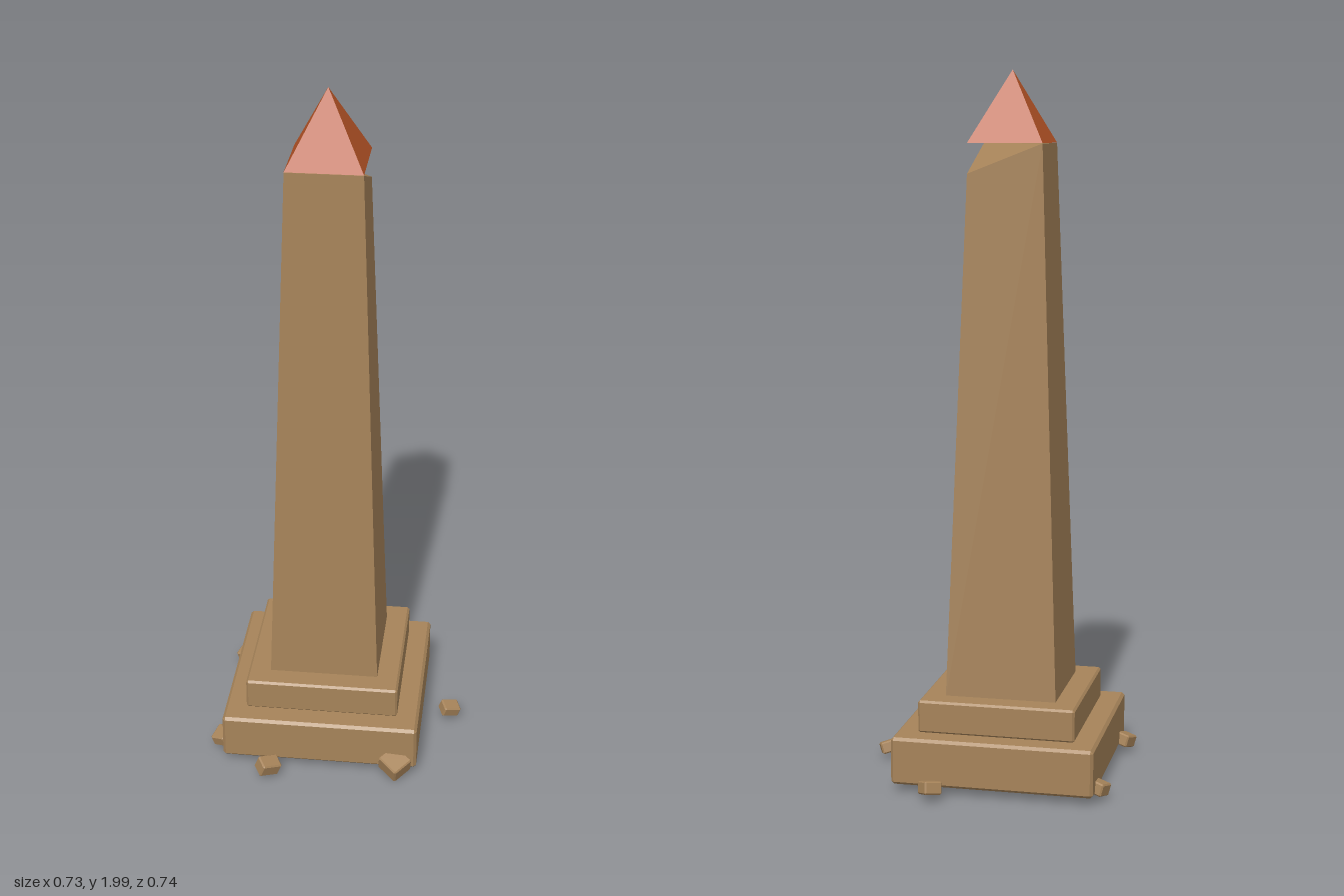
import * as THREE from 'three';
import { ConvexGeometry } from 'three/addons/geometries/ConvexGeometry.js';

const CX = -0.036, CZ = -0.005; // axis of the obelisk

// Box with chamfered edges, as the hull of its inset faces
function chamferBox(w, h, d, b) {
  const pts = [];
  for (const x of [-w / 2, w / 2]) for (const y of [-h / 2, h / 2]) for (const z of [-d / 2, d / 2]) {
    const sx = Math.sign(x) * b, sy = Math.sign(y) * b, sz = Math.sign(z) * b;
    pts.push(
      new THREE.Vector3(x, y - sy, z - sz),
      new THREE.Vector3(x - sx, y, z - sz),
      new THREE.Vector3(x - sx, y - sy, z));
  }
  return new ConvexGeometry(pts);
}

// Four corners of a square at height y
function square(half, y) {
  return [[1, 1], [-1, 1], [-1, -1], [1, -1]].map(([x, z]) => new THREE.Vector3(x * half, y, z * half));
}

export function createModel() {
  const group = new THREE.Group();
  const sandstone = new THREE.MeshStandardMaterial({ color: 0xa68359 });
  sandstone.name = 'sandstone';
  const copper = new THREE.MeshStandardMaterial({ color: 0xb65426 });
  copper.name = 'copper';

  function add(name, geometry, material, x, y, z) {
    const mesh = new THREE.Mesh(geometry, material);
    mesh.name = name;
    mesh.position.set(x, y, z);
    group.add(mesh);
    return mesh;
  }

  // Stepped plinth
  add('lowerPlinth', chamferBox(0.572, 0.135, 0.572, 0.008), sandstone, CX, 0.0975, CZ);
  add('upperPlinth', chamferBox(0.446, 0.093, 0.446, 0.006), sandstone, CX, 0.2105, CZ);

  // Tapered shaft with its back right top corner broken away
  const top = square(0.105, 1.8);
  top[3].y = 1.718;
  add('shaft', new ConvexGeometry([...square(0.158, 0.25), ...top]), sandstone, CX, 0, CZ);

  // Pyramid cap
  add('cap', new ConvexGeometry([...square(0.105, 1.801), new THREE.Vector3(0, 2, 0)]), copper, CX, 0, CZ);

  // Fallen stones: x, y, z, width, height, depth, yaw, pitch, roll
  const stones = [
    [0.125, 0.045, -0.335, 0.052, 0.036, 0.050, 0.70, 0.25, 0.15],
    [-0.328, 0.043, -0.225, 0.048, 0.036, 0.050, -0.35, 0.20, 0.20],
    [-0.336, 0.043, 0.203, 0.045, 0.036, 0.056, -0.35, 0.25, 0.20],
    [-0.180, 0.045, 0.332, 0.062, 0.042, 0.045, 0.55, 0.30, -0.25],
    [0.188, 0.048, 0.285, 0.068, 0.052, 0.072, 0.90, 0.30, 0.25],
    [0.331, 0.043, -0.008, 0.054, 0.034, 0.042, 0.40, 0.25, -0.25],
  ];
  stones.forEach(([x, y, z, w, h, d, yaw, pitch, roll], i) => {
    const stone = add('fallenStone' + (i + 1), chamferBox(w, h, d, 0.004), sandstone, x, y, z);
    stone.rotation.set(pitch, yaw, roll, 'YXZ');
  });

  return group;
}
